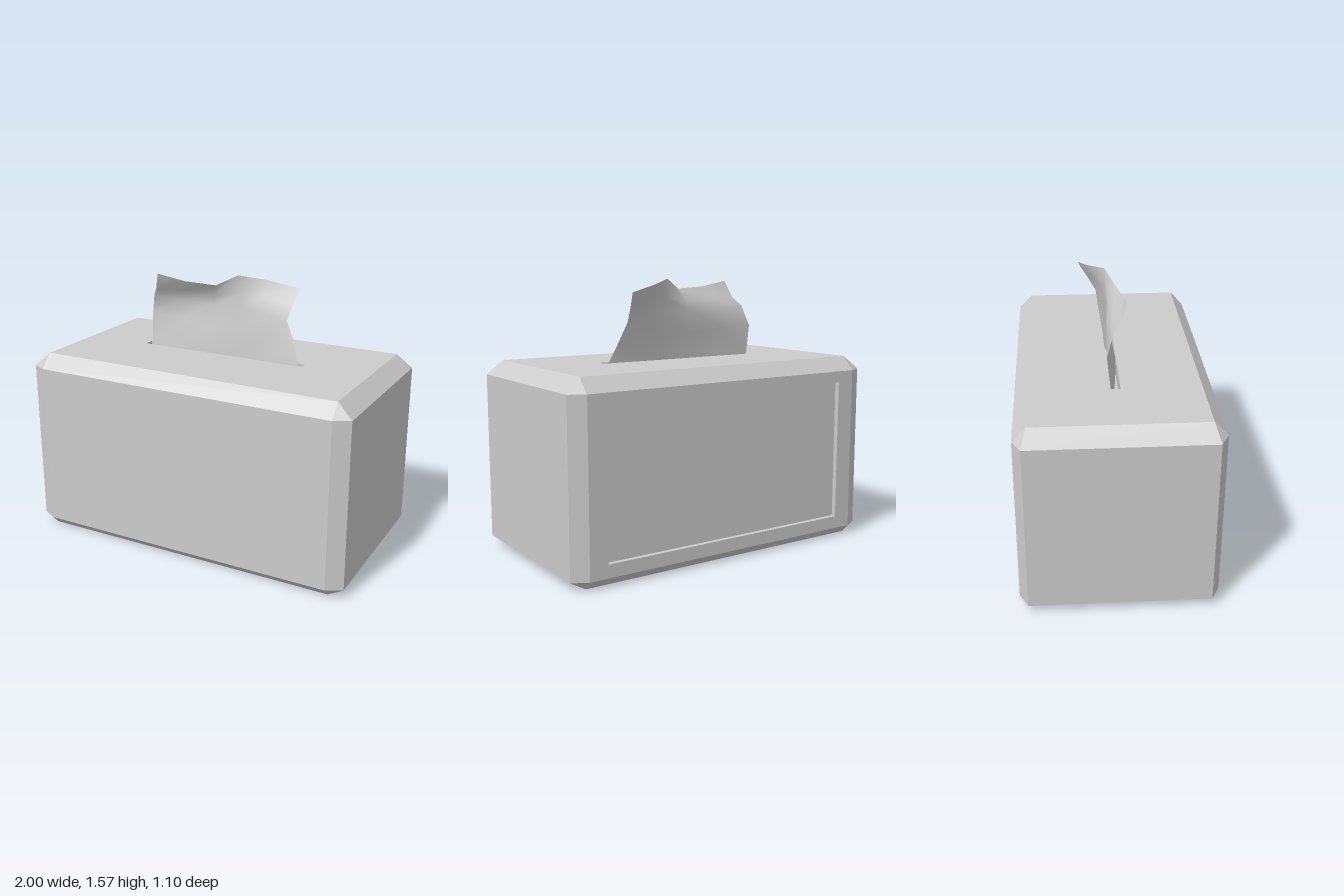
import * as THREE from 'three';

const grey = () => new THREE.MeshStandardMaterial({ color: 0xcccccc });

// Flat-faced skin joining successive loops of equal length; skip(row, side) leaves a gap
function skin(name, loops, skip = () => false) {
  const pos = [];
  const tri = (a, b, c) => {
    const t = new THREE.Triangle(...[a, b, c].map(p => new THREE.Vector3(...p)));
    if (t.getArea() > 1e-7) pos.push(...a, ...b, ...c);
  };
  for (let r = 0; r < loops.length - 1; r++) {
    const A = loops[r], B = loops[r + 1];
    A.forEach((p, i) => {
      if (skip(r, i)) return;
      const j = (i + 1) % A.length;
      tri(p, A[j], B[j]);
      tri(p, B[j], B[i]);
    });
  }
  const geo = new THREE.BufferGeometry();
  geo.setAttribute('position', new THREE.Float32BufferAttribute(pos, 3));
  geo.computeVertexNormals();
  const mesh = new THREE.Mesh(geo, grey());
  mesh.name = name;
  return mesh;
}

// Horizontal eight-point loop: front/back corners at (x, zf), side corners at (xs, zs)
const ring = (y, x, zf, xs = x, zs = zf) => [
  [-x, zf], [x, zf], [xs, zs], [xs, -zs], [x, -zf], [-x, -zf], [-xs, -zs], [-xs, zs],
].map(([px, pz]) => [px, y, pz]);

// Rectangle facing backwards
const backRect = (x, y0, y1, z) => [[x, y0, z], [-x, y0, z], [-x, y1, z], [x, y1, z]];

// Crumpled sheet: each row runs from right to left as [x, y, z] points
function createTissue() {
  const rows = [
    [[-0.5, 1.0, -0.02], [-0.3, 1.0, 0.01], [-0.1, 1.0, 0.02], [0.1, 1.0, 0.01], [0.28, 1.0, -0.02], [0.48, 1.0, 0]],
    [[-0.505, 1.1, -0.025], [-0.3, 1.1, 0.015], [-0.1, 1.1, 0.025], [0.1, 1.1, 0.01], [0.28, 1.1, -0.025], [0.475, 1.1, -0.005]],
    [[-0.51, 1.28, -0.045], [-0.3, 1.27, -0.025], [-0.1, 1.25, -0.005], [0.1, 1.24, -0.01], [0.26, 1.22, -0.04], [0.44, 1.2, -0.045]],
    [[-0.475, 1.4, -0.01], [-0.28, 1.38, -0.035], [-0.08, 1.38, -0.025], [0.1, 1.38, -0.02], [0.24, 1.36, -0.045], [0.38, 1.33, -0.062]],
    [[-0.435, 1.45, 0.03], [-0.26, 1.45, 0.0], [-0.06, 1.44, -0.01], [0.095, 1.46, -0.022], [0.23, 1.45, -0.07], [0.39, 1.41, -0.11]],
    [[-0.4, 1.55, 0.068], [-0.22, 1.52, 0.055], [-0.03, 1.51, 0.03], [0.085, 1.57, -0.025], [0.23, 1.54, -0.115], [0.41, 1.5, -0.168]],
  ];
  const cols = rows[0].length, index = [];
  for (let r = 0; r < rows.length - 1; r++) {
    for (let c = 0; c < cols - 1; c++) {
      const a = r * cols + c, b = a + cols;
      index.push(a, a + 1, b + 1, a, b + 1, b);
    }
  }
  const geo = new THREE.BufferGeometry();
  geo.setAttribute('position', new THREE.Float32BufferAttribute(rows.flat(2), 3));
  geo.setIndex(index);
  geo.computeVertexNormals();
  const material = grey();
  material.side = THREE.DoubleSide;
  const mesh = new THREE.Mesh(geo, material);
  mesh.name = 'tissue';
  return mesh;
}

export function createModel() {
  const group = new THREE.Group();
  group.name = 'tissueBox';

  // Chamfered case, from the underside up and down into the top slot; back wall left open
  group.add(skin('case', [
    ring(0, 0, 0),
    ring(0, 0.91, 0.5),
    ring(0.05, 0.91, 0.548, 1, 0.5),
    ring(1.02, 0.91, 0.548, 1, 0.5),
    ring(1.1, 0.91, 0.472),
    ring(1.1, 0.515, 0.028),
    ring(1.0, 0.515, 0.028),
    ring(1.0, 0, 0),
  ], (row, side) => row === 2 && side === 4));

  // Back wall with a shallow recessed panel
  group.add(skin('backPanel', [
    backRect(0.91, 0.05, 1.02, -0.548),
    backRect(0.8, 0.125, 0.955, -0.548),
    backRect(0.8, 0.125, 0.955, -0.52),
    backRect(0, 0.54, 0.54, -0.52),
  ]));

  group.add(createTissue());
  return group;
}
